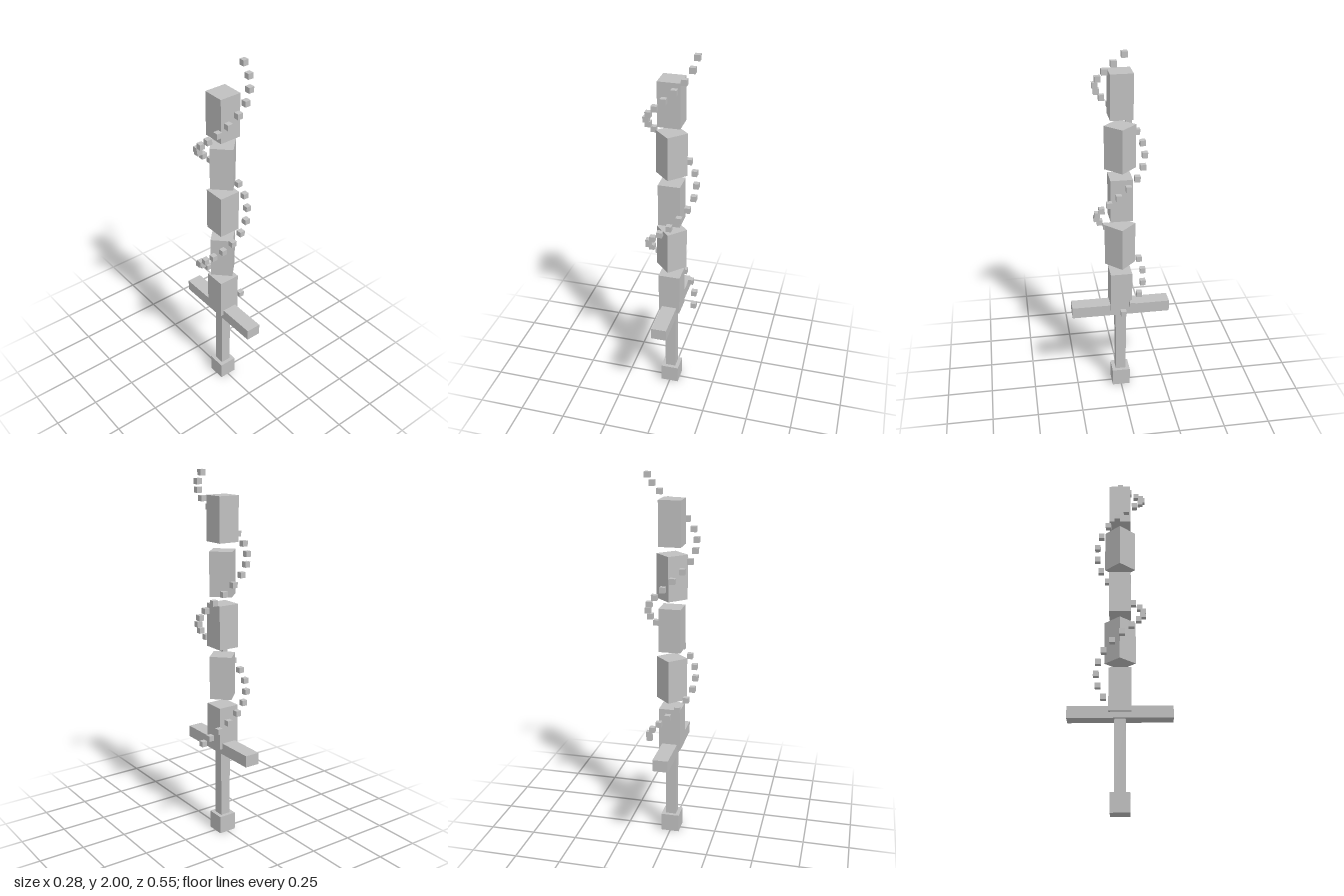
import * as THREE from 'three';

export function createModel() {
  const model = new THREE.Group();
  const silver = new THREE.MeshStandardMaterial({ color: 0xc0c0c0 });
  silver.name = 'silver';

  // Axis-aligned block, placed by its centre
  function block(name, [w, h, d], [x, y, z], parent = model) {
    const mesh = new THREE.Mesh(new THREE.BoxGeometry(w, h, d), silver);
    mesh.name = name;
    mesh.position.set(x, y, z);
    parent.add(mesh);
    return mesh;
  }

  // Hilt
  block('pommel', [0.1, 0.1, 0.1], [0, 0.05, 0]);
  block('grip', [0.058, 0.39, 0.058], [0, 0.292, 0]);
  block('crossguard', [0.083, 0.064, 0.545], [0, 0.512, 0]);

  // Blade of five floating blocks, every other one turned by 45 degrees
  const blade = new THREE.Group();
  blade.name = 'blade';
  model.add(blade);
  for (let i = 0; i < 5; i++) {
    const segment = block('bladeSegment', [0.118, 0.236, 0.118], [0, 0.63 + i * 0.28, 0], blade);
    segment.rotation.y = (i % 2) * Math.PI / 4;
  }

  // Two-turn spiral of small cubes around the blade
  const spiral = new THREE.Group();
  spiral.name = 'spiral';
  model.add(spiral);
  const count = 32, radius = 0.127, size = 0.03;
  for (let i = 0; i < count; i++) {
    const t = i / (count - 1), angle = t * Math.PI * 4;
    block('spiralCube', [size, size, size],
      [radius * Math.cos(angle), 0.545 + t * 1.44, -radius * Math.sin(angle)], spiral);
  }

  return model;
}
